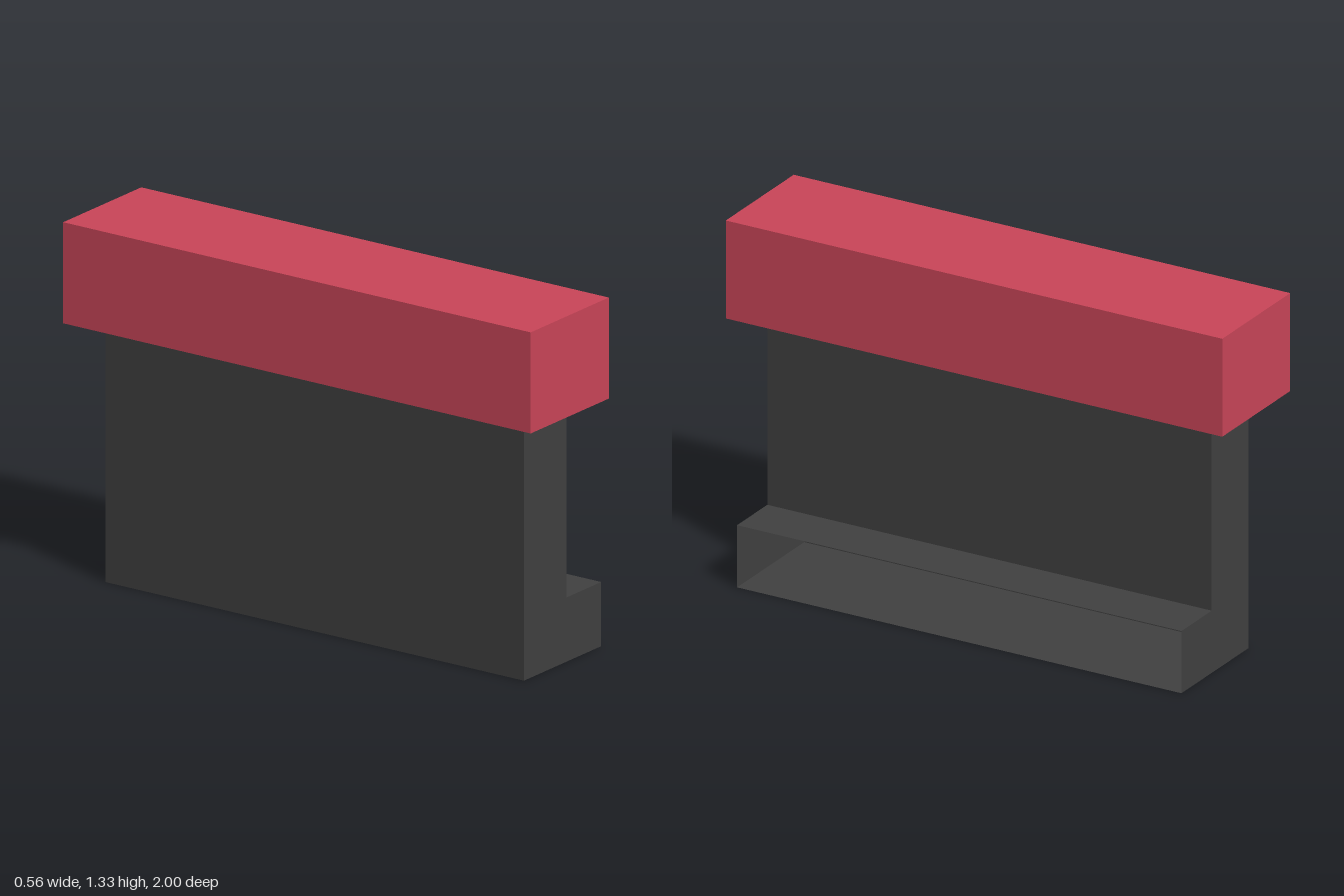
import * as THREE from 'three';

const HALF_LENGTH = 0.895;

// L-shaped cross-section, anticlockwise; the foot's outer side (last to first point) stays open
const PROFILE = [
  [0.28, 0.235], [0.075, 0.235], [0.075, 0.955],
  [-0.175, 0.955], [-0.175, 0], [0.28, 0],
];

// One flat wall for each profile edge, running the length of the body
function wallGeometry(points, h) {
  const pos = [];
  for (let i = 0; i < points.length - 1; i++) {
    const [ax, ay] = points[i];
    const [bx, by] = points[i + 1];
    pos.push(ax, ay, h, ax, ay, -h, bx, by, -h);
    pos.push(ax, ay, h, bx, by, -h, bx, by, h);
  }
  const geometry = new THREE.BufferGeometry();
  geometry.setAttribute('position', new THREE.Float32BufferAttribute(pos, 3));
  geometry.computeVertexNormals();
  return geometry;
}

export function createModel() {
  const model = new THREE.Group();
  model.name = 'cappedWall';

  const red = new THREE.MeshStandardMaterial({ color: 0xc94558 });
  red.name = 'red';
  const charcoal = new THREE.MeshStandardMaterial({ color: 0x404040 });
  charcoal.name = 'charcoal';
  charcoal.side = THREE.DoubleSide; // hollow shell, inside is visible

  // Hollow body with a foot along one side
  const body = new THREE.Group();
  body.name = 'body';
  const walls = new THREE.Mesh(wallGeometry(PROFILE, HALF_LENGTH), charcoal);
  walls.name = 'bodyWalls';
  body.add(walls);

  // End plates
  const outline = new THREE.Shape(PROFILE.map(([x, y]) => new THREE.Vector2(x, y)));
  const endGeometry = new THREE.ShapeGeometry(outline);
  const front = new THREE.Mesh(endGeometry, charcoal);
  front.name = 'frontEnd';
  front.position.z = HALF_LENGTH;
  const back = new THREE.Mesh(endGeometry, charcoal);
  back.name = 'backEnd';
  back.position.z = -HALF_LENGTH;
  body.add(front, back);
  model.add(body);

  // Overhanging block on top
  const cap = new THREE.Mesh(new THREE.BoxGeometry(0.46, 0.37, 2), red);
  cap.name = 'topBlock';
  cap.position.set(-0.05, 1.14, 0);
  model.add(cap);

  return model;
}
